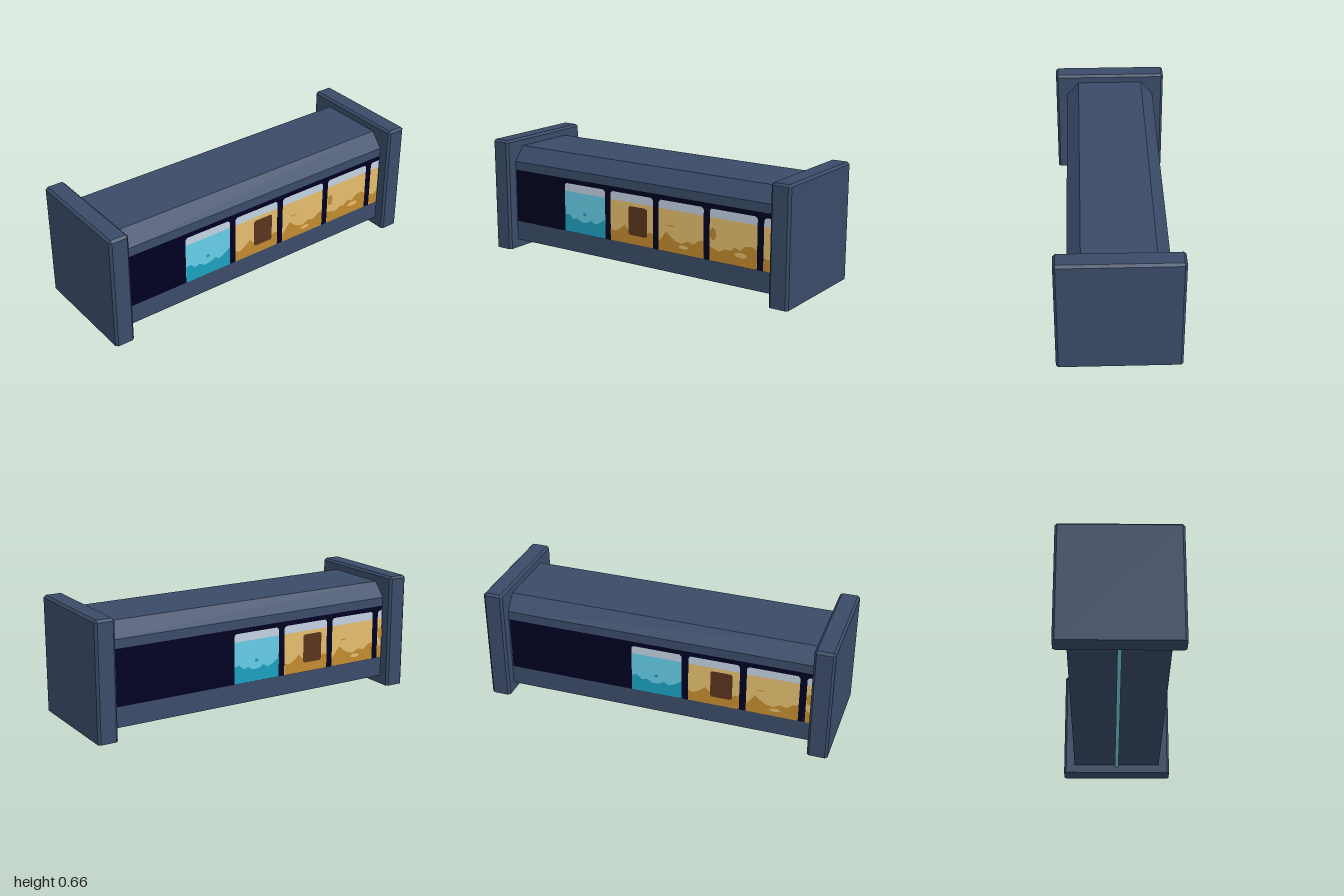
import * as THREE from 'three';
import { ConvexGeometry } from 'three/addons/geometries/ConvexGeometry.js';

const paint = (name, color) => {
  const m = new THREE.MeshStandardMaterial({ color });
  m.name = name;
  return m;
};

export function createModel() {
  const mats = {
    slate: paint('slate blue', 0x3a4b68),
    navy: paint('dark navy', 0x000022),
    grey: paint('pale grey', 0xc2d1e2),
    aqua: paint('aqua', 0x66cfe9),
    teal: paint('teal', 0x1ca0be),
    sand: paint('sand', 0xe5be6e),
    amber: paint('amber', 0xc38b30),
    brown: paint('dark brown', 0x5a341d),
    glow: paint('light strip cyan', 0x72d6e2),
  };
  const model = new THREE.Group();
  model.name = 'displayBench';

  const add = (parent, name, geometry, material) => {
    const mesh = new THREE.Mesh(geometry, material);
    mesh.name = name;
    parent.add(mesh);
    return mesh;
  };
  const polygon = (pts) => new THREE.Shape(pts.map(([x, y]) => new THREE.Vector2(x, y)));

  // Body: a box section with sloped upper edges, running between the end caps
  const section = polygon([
    [-0.265, 0.05], [0.265, 0.05], [0.265, 0.53], [0.193, 0.613], [-0.193, 0.613], [-0.265, 0.53],
  ]);
  const bodyGeo = new THREE.ExtrudeGeometry(section, { depth: 1.78, bevelEnabled: false });
  bodyGeo.translate(0, 0, -0.89).rotateY(Math.PI / 2);
  add(model, 'body', bodyGeo, mats.slate);

  // End caps: chamfered upright edges and top, flat bottom
  const hx = 0.057, hz = 0.331, c = 0.013, h = 0.662;
  const capPts = [];
  for (const sx of [-1, 1]) for (const sz of [-1, 1]) {
    for (const y of [0, h - c]) {
      capPts.push(new THREE.Vector3(sx * hx, y, sz * (hz - c)));
      capPts.push(new THREE.Vector3(sx * (hx - c), y, sz * hz));
    }
    capPts.push(new THREE.Vector3(sx * (hx - c), h, sz * (hz - c)));
  }
  const capGeo = new ConvexGeometry(capPts);
  for (const s of [-1, 1]) {
    add(model, s > 0 ? 'leftEndCap' : 'rightEndCap', capGeo, mats.slate).position.x = s * (1 - hx);
  }

  // Light strip along the middle of the underside
  add(model, 'lightStrip', new THREE.BoxGeometry(1.76, 0.016, 0.022), mats.glow).position.y = 0.043;

  // Hill outlines: [distance across the panel, height]
  const hills = [
    [[0, 0.265], [0.03, 0.272], [0.06, 0.245], [0.09, 0.255], [0.12, 0.235], [0.16, 0.238],
      [0.19, 0.255], [0.22, 0.238], [0.25, 0.25], [0.295, 0.28]],
    [[0, 0.235], [0.03, 0.225], [0.06, 0.24], [0.1, 0.272], [0.125, 0.245], [0.2, 0.235],
      [0.24, 0.225], [0.265, 0.255], [0.295, 0.25]],
    [[0, 0.215], [0.03, 0.25], [0.05, 0.28], [0.08, 0.255], [0.11, 0.235], [0.15, 0.225],
      [0.19, 0.245], [0.23, 0.235], [0.26, 0.26], [0.295, 0.27]],
    [[0, 0.245], [0.03, 0.235], [0.06, 0.225], [0.1, 0.245], [0.13, 0.24], [0.16, 0.265],
      [0.19, 0.25], [0.225, 0.28], [0.26, 0.285], [0.295, 0.27]],
    [[0, 0.24], [0.03, 0.23], [0.065, 0.25]],
  ];
  const bottom = 0.167, skyLine = 0.406, top = 0.453, full = 0.293, pitch = 0.3315;
  const screenEnd = 0.88;

  // Screen face with a row of picture panels beginning at the given x
  const makeScreen = (name, start) => {
    const group = new THREE.Group();
    group.name = name;
    const plate = (part, pts, material, layer) => {
      add(group, part, new THREE.ShapeGeometry(polygon(pts)), material).position.z = 0.2665 + layer * 0.0012;
    };
    const rect = (part, x0, x1, y0, y1, material, layer) =>
      plate(part, [[x0, y0], [x1, y0], [x1, y1], [x0, y1]], material, layer);
    const blob = (part, x, y, rx, ry, material, layer) => {
      const pts = [];
      for (let i = 0; i < 8; i++) {
        const a = (i / 8) * Math.PI * 2;
        pts.push([x + rx * Math.cos(a), y + ry * Math.sin(a)]);
      }
      plate(part, pts, material, layer);
    };

    rect('screen', -screenEnd, screenEnd, 0.165, 0.48, mats.navy, 0);
    hills.forEach((outline, i) => {
      const x0 = start + i * pitch;
      const w = Math.min(full, screenEnd - x0);
      if (w <= 0.005) return;
      const x1 = x0 + w;
      const whole = w === full;
      const r = 0.012, rr = whole ? r : 0;
      // Panel background and grey header with softened top corners
      rect('panel', x0, x1, bottom, skyLine, i ? mats.sand : mats.aqua, 1);
      plate('panelHeader', [[x0, skyLine], [x1, skyLine], [x1, top - rr], [x1 - rr, top],
        [x0 + r, top], [x0, top - r]], mats.grey, 1);
      // Hills, cut off where the screen ends
      const ridge = outline.filter(([d]) => d < w);
      ridge.push([w, outline[ridge.length][1]]);
      plate('hills', [[x0, bottom], [x1, bottom],
        ...ridge.reverse().map(([d, y]) => [x0 + d, y])], i ? mats.amber : mats.teal, 2);
      // Small details, left off a panel that is cut short
      if (i === 0) blob('bubble', x0 + 0.145, 0.285, 0.012, 0.011, mats.teal, 2);
      if (i === 1) {
        rect('door', x0 + 0.128, x0 + 0.253, 0.226, 0.38, mats.brown, 3);
        rect('door', x0 + 0.134, x0 + 0.247, 0.22, 0.386, mats.brown, 4);
      }
      if (i === 2) {
        blob('clearing', x0 + 0.165, 0.208, 0.032, 0.011, mats.sand, 3);
        rect('cloudLine', x0 + 0.06, x0 + 0.1, 0.313, 0.319, mats.amber, 2);
      }
      if (i === 3) blob('cliff', x0 + 0.021, 0.315, 0.021, 0.036, mats.amber, 2);
      if (i === 3 && whole) blob('clearing', x0 + 0.195, 0.227, 0.04, 0.014, mats.sand, 3);
    });
    model.add(group);
    return group;
  };
  makeScreen('frontScreen', -0.508);
  makeScreen('backScreen', -0.143).rotation.y = Math.PI;

  return model;
}
